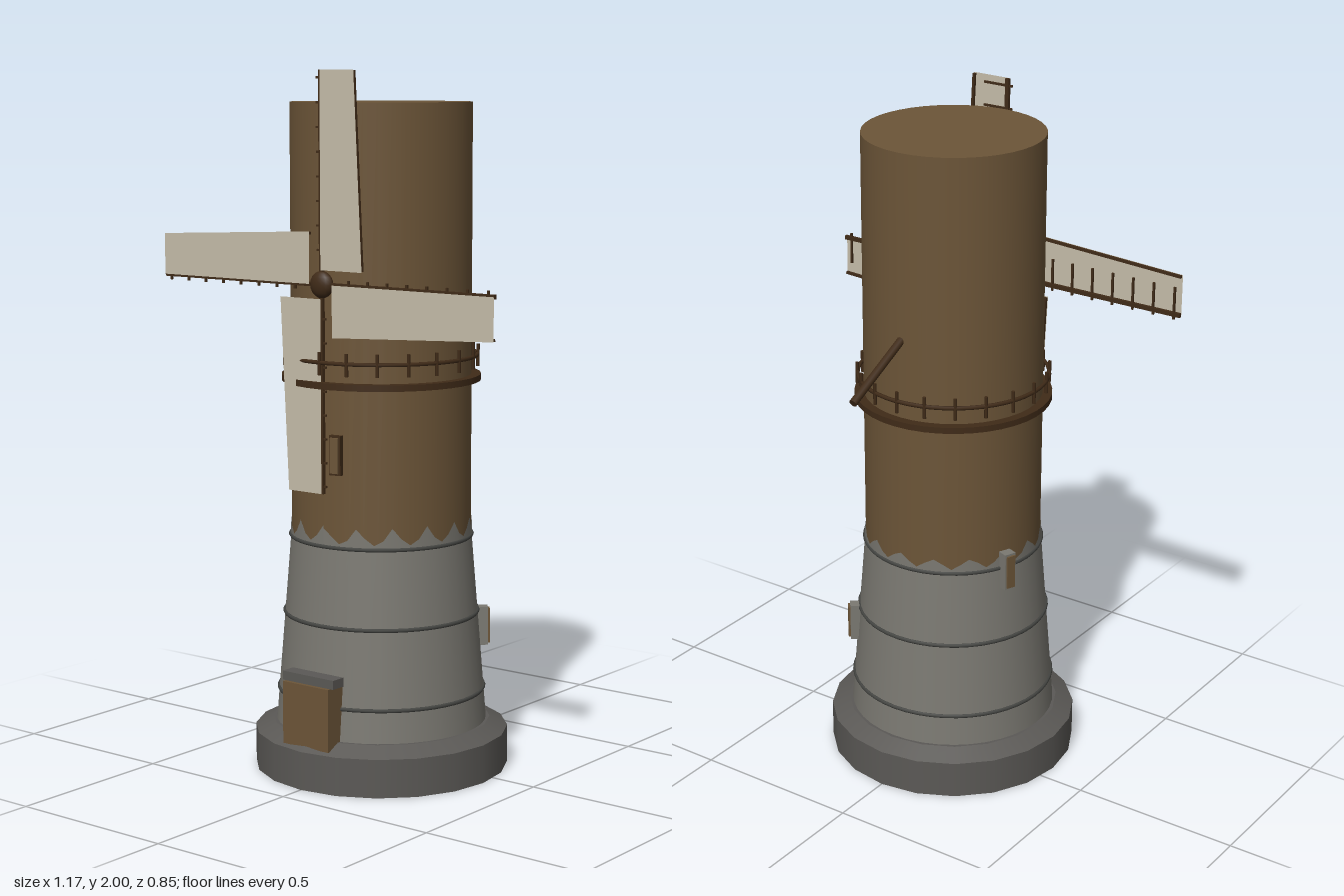
import * as THREE from 'three';

const mat = (name, color, side = THREE.FrontSide) => {
  const m = new THREE.MeshStandardMaterial({ color, side });
  m.name = name;
  return m;
};

export function createModel() {
  const wood = mat('brown wood', 0x6c5538);
  const dark = mat('dark timber', 0x402b18);
  const stone = mat('grey stone', 0x7b7972);
  const stoneOpen = mat('grey stone', 0x7b7972, THREE.DoubleSide);
  const base = mat('base stone', 0x5b5956);
  const band = mat('band grey', 0x454643);
  const sailMat = mat('canvas', 0xc4bca9, THREE.DoubleSide);

  const model = new THREE.Group();
  const tower = new THREE.Group();
  tower.name = 'tower';
  tower.position.z = 0.057;
  model.add(tower);

  const add = (parent, name, geo, material, x = 0, y = 0, z = 0) => {
    const m = new THREE.Mesh(geo, material);
    m.name = name;
    m.position.set(x, y, z);
    parent.add(m);
    return m;
  };
  const box = (w, h, d) => new THREE.BoxGeometry(w, h, d);
  // upright cylinder or cone between two heights
  const drum = (name, r0, r1, y0, y1, material, sides, open = false) =>
    add(tower, name, new THREE.CylinderGeometry(r1, r0, y1 - y0, sides, 1, open), material, 0, (y0 + y1) / 2);
  const hoop = (name, r, tube, y, material) => {
    const m = add(tower, name, new THREE.TorusGeometry(r, tube, 6, 48), material, 0, y);
    m.rotation.x = Math.PI / 2;
    return m;
  };

  // plinth, stone wall and wooden upper body
  drum('plinth', 0.367, 0.367, 0, 0.11, base, 20);
  drum('plinthChamfer', 0.367, 0.315, 0.11, 0.137, base, 20);
  drum('stoneWall', 0.305, 0.26, 0.13, 0.685, stone, 40);
  drum('woodenBody', 0.258, 0.258, 0.67, 1.912, wood, 40);
  [[0.23, 0.297], [0.455, 0.279], [0.68, 0.261]].forEach(([y, r]) => hoop('wallBand', r, 0.006, y, band));

  // jagged upper edge of the stonework
  const pos = [], idx = [], teeth = 16, steps = teeth * 4;
  for (let i = 0; i <= steps; i++) {
    const a = (i / steps) * Math.PI * 2;
    const phase = i % 4;
    const high = 0.732 + 0.01 * Math.sin(i * 1.7);
    const y = phase === 0 ? high : phase === 2 ? 0.692 : (high + 0.692) / 2 - 0.004;
    const s = Math.sin(a) * 0.2615, c = Math.cos(a) * 0.2615;
    pos.push([s, 0.68, c], [s, y, c]);
    if (i < steps) idx.push(2 * i, 2 * i + 2, 2 * i + 1, 2 * i + 1, 2 * i + 2, 2 * i + 3);
  }
  const jag = new THREE.BufferGeometry();
  jag.setAttribute('position', new THREE.Float32BufferAttribute(pos.flat(), 3));
  jag.setIndex(idx);
  jag.computeVertexNormals();
  add(tower, 'jaggedStoneEdge', jag, stoneOpen);

  // gallery: deck ring, rail and posts
  drum('galleryDeck', 0.285, 0.285, 1.127, 1.145, dark, 40);
  hoop('galleryRail', 0.275, 0.006, 1.2, dark);
  for (let i = 0; i < 20; i++) {
    const a = (i / 20) * Math.PI * 2;
    add(tower, 'galleryPost', new THREE.CylinderGeometry(0.005, 0.005, 0.064, 6), dark,
      Math.sin(a) * 0.276, 1.197, Math.cos(a) * 0.276);
  }

  // door with lintel
  add(model, 'door', box(0.164, 0.18, 0.07), wood, 0, 0.207, 0.367);
  add(model, 'doorLintel', box(0.184, 0.026, 0.045), base, 0, 0.31, 0.368);

  // narrow windows facing outward
  const addWindow = (angle, r, y, frameMat) => {
    const g = new THREE.Group();
    g.name = 'window';
    g.rotation.y = angle;
    tower.add(g);
    add(g, 'windowFrame', box(0.036, 0.112, 0.04), frameMat, 0, y, r - 0.005);
    add(g, 'windowPanel', box(0.026, 0.1, 0.04), wood, 0, y, r + 0.001);
  };
  addWindow(Math.atan2(0.045, 0.26), 0.257, 0.943, dark);
  addWindow(Math.atan2(0.237, -0.2), 0.294, 0.403, stone);
  addWindow(Math.atan2(-0.28, -0.104), 0.273, 0.675, stone);

  // tail pole sloping down at the back
  const from = new THREE.Vector3(0, 1.378, -0.19), to = new THREE.Vector3(0, 1.263, -0.418);
  const pole = add(model, 'tailPole', new THREE.CylinderGeometry(0.012, 0.012, from.distanceTo(to), 10), dark);
  pole.position.copy(from).lerp(to, 0.5);
  pole.quaternion.setFromUnitVectors(new THREE.Vector3(0, 1, 0), to.clone().sub(from).normalize());

  // rotor: hub and four sails
  const rotor = new THREE.Group();
  rotor.name = 'rotor';
  rotor.position.set(0, 1.415, 0.321);
  model.add(rotor);
  add(rotor, 'hub', new THREE.SphereGeometry(0.038, 16, 10), dark).scale.z = 0.56;
  const cloth = new THREE.Shape([[0, 0.04], [0.145, 0.04], [0.118, 0.585], [0, 0.585]]
    .map(([x, y]) => new THREE.Vector2(x, y)));
  for (let k = 0; k < 4; k++) {
    const arm = new THREE.Group();
    arm.name = 'sail';
    arm.rotation.z = -k * Math.PI / 2;
    rotor.add(arm);
    add(arm, 'sailCloth', new THREE.ShapeGeometry(cloth), sailMat, 0, 0, 0.006);
    add(arm, 'sailStock', box(0.012, 0.585, 0.01), dark, 0, 0.2925, 0);
    const edge = add(arm, 'sailEdge', box(0.008, 0.542, 0.008), dark, 0.127, 0.3125, 0);
    edge.rotation.z = Math.atan2(0.027, 0.545);
    for (let i = 0; i < 8; i++)
      add(arm, 'sailRung', box(0.095, 0.006, 0.006), dark, 0.032, 0.095 + i * 0.067, 0.001);
  }
  return model;
}
